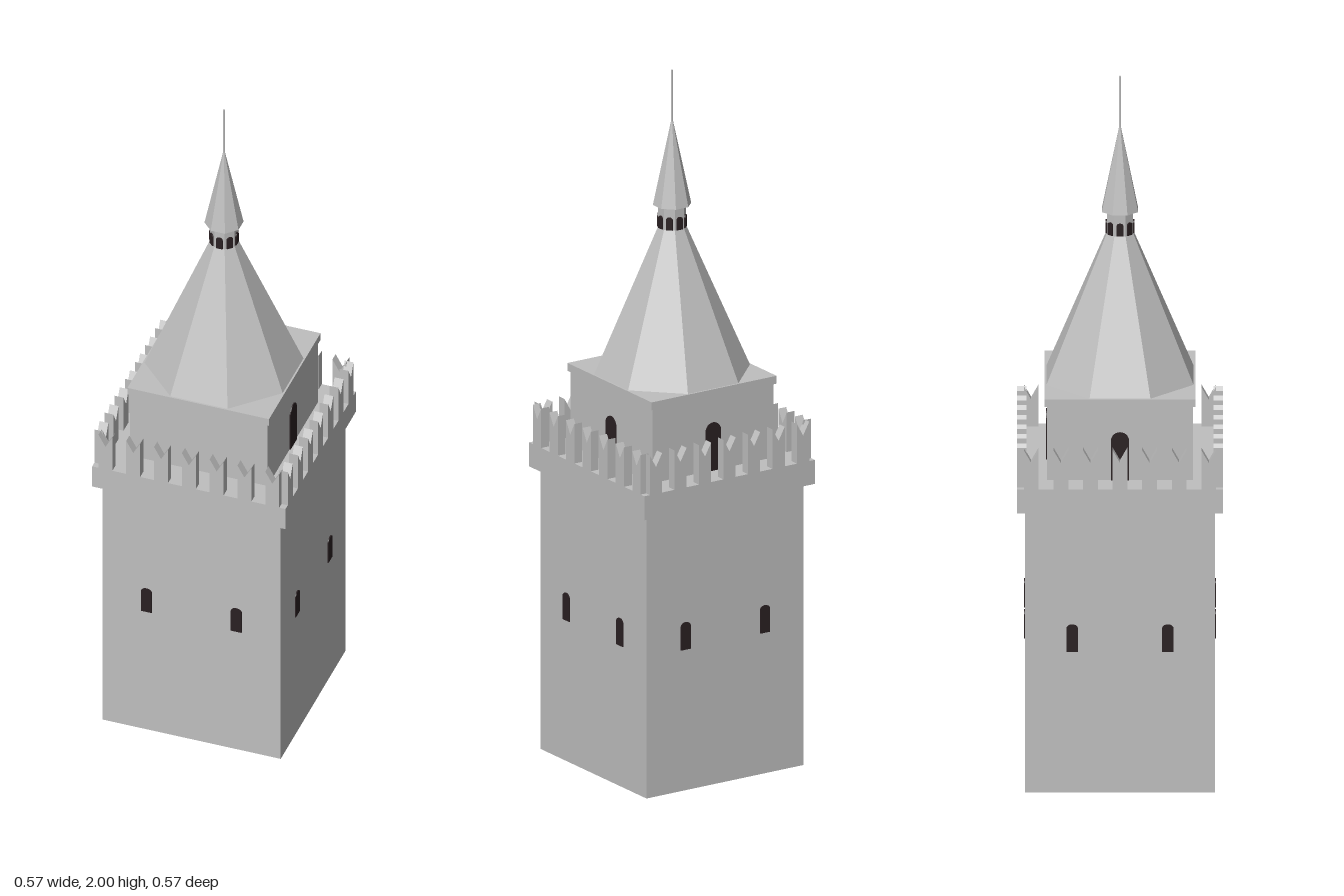
import * as THREE from 'three';

export function createModel() {
  const tower = new THREE.Group();
  tower.name = 'tower';
  const stone = new THREE.MeshStandardMaterial({ color: 0xbfbfbf, flatShading: true, side: THREE.DoubleSide });
  stone.name = 'grey stone';
  const dark = new THREE.MeshStandardMaterial({ color: 0x2a2022, flatShading: true });
  dark.name = 'dark opening';

  function add(name, geometry, material = stone, parent = tower) {
    const mesh = new THREE.Mesh(geometry, material);
    mesh.name = name;
    parent.add(mesh);
    return mesh;
  }
  // Square or octagonal frustum between two heights, with a flat face toward +z
  function prism(name, sides, bottom, top, y0, y1, open = false) {
    const k = 1 / Math.cos(Math.PI / sides);
    const g = new THREE.CylinderGeometry(top * k, bottom * k, y1 - y0, sides, 1, open, Math.PI / sides);
    return add(name, g.translate(0, (y0 + y1) / 2, 0));
  }
  // Thin arched plate standing on y = 0
  function arch(halfWidth, height, rise) {
    const s = new THREE.Shape();
    s.moveTo(-halfWidth, 0);
    s.lineTo(halfWidth, 0);
    s.lineTo(halfWidth, height - rise);
    s.absellipse(0, height - rise, halfWidth, rise, 0, Math.PI);
    s.closePath();
    return new THREE.ExtrudeGeometry(s, { depth: 0.005, bevelEnabled: false, curveSegments: 6 }).translate(0, 0, -0.002);
  }

  // Masonry stages; the shaft is open underneath
  prism('shaft', 4, 0.262, 0.262, 0, 0.82, true);
  prism('parapetSlab', 4, 0.284, 0.284, 0.82, 0.89);
  prism('upperRoom', 4, 0.202, 0.202, 0.89, 1.105);
  prism('eavesSlab', 4, 0.208, 0.208, 1.105, 1.128);

  // Roof, lantern and spire
  prism('mainRoof', 8, 0.203, 0.037, 1.128, 1.545, true);
  prism('lantern', 8, 0.036, 0.036, 1.54, 1.615);
  prism('spire', 8, 0.05, 0.001, 1.61, 1.86);
  add('pole', new THREE.CylinderGeometry(0.003, 0.003, 0.16, 8).translate(0, 1.92, 0));

  // Swallowtail merlon
  const tail = new THREE.Shape([[-0.0205, 0], [0.0205, 0], [0.0205, 0.115], [0, 0.078], [-0.0205, 0.115]]
    .map(([x, y]) => new THREE.Vector2(x, y)));
  const merlonGeo = new THREE.ExtrudeGeometry(tail, { depth: 0.026, bevelEnabled: false });
  const windowGeo = arch(0.016, 0.08, 0.012);
  const doorGeo = arch(0.025, 0.14, 0.025);

  // Four sides: merlons, windows, and doors on all but the front
  for (let i = 0; i < 4; i++) {
    const side = new THREE.Group();
    side.name = ['frontSide', 'leftSide', 'backSide', 'rightSide'][i];
    side.rotation.y = i * Math.PI / 2;
    tower.add(side);
    for (let j = -3; j <= 3; j++) {
      add('merlon', merlonGeo, stone, side).position.set(j * 0.0817, 0.89, 0.258);
    }
    for (const x of [-0.132, 0.132]) {
      add('window', windowGeo, dark, side).position.set(x, 0.41, 0.262);
    }
    if (i > 0) add('door', doorGeo, dark, side).position.set(0, 0.89, 0.202);
  }

  // Eight lantern openings
  const lanternGeo = arch(0.0095, 0.037, 0.008);
  for (let i = 0; i < 8; i++) {
    const a = i * Math.PI / 4;
    const opening = add('lanternOpening', lanternGeo, dark);
    opening.position.set(0.037 * Math.sin(a), 1.545, 0.037 * Math.cos(a));
    opening.rotation.y = a;
  }
  return tower;
}
